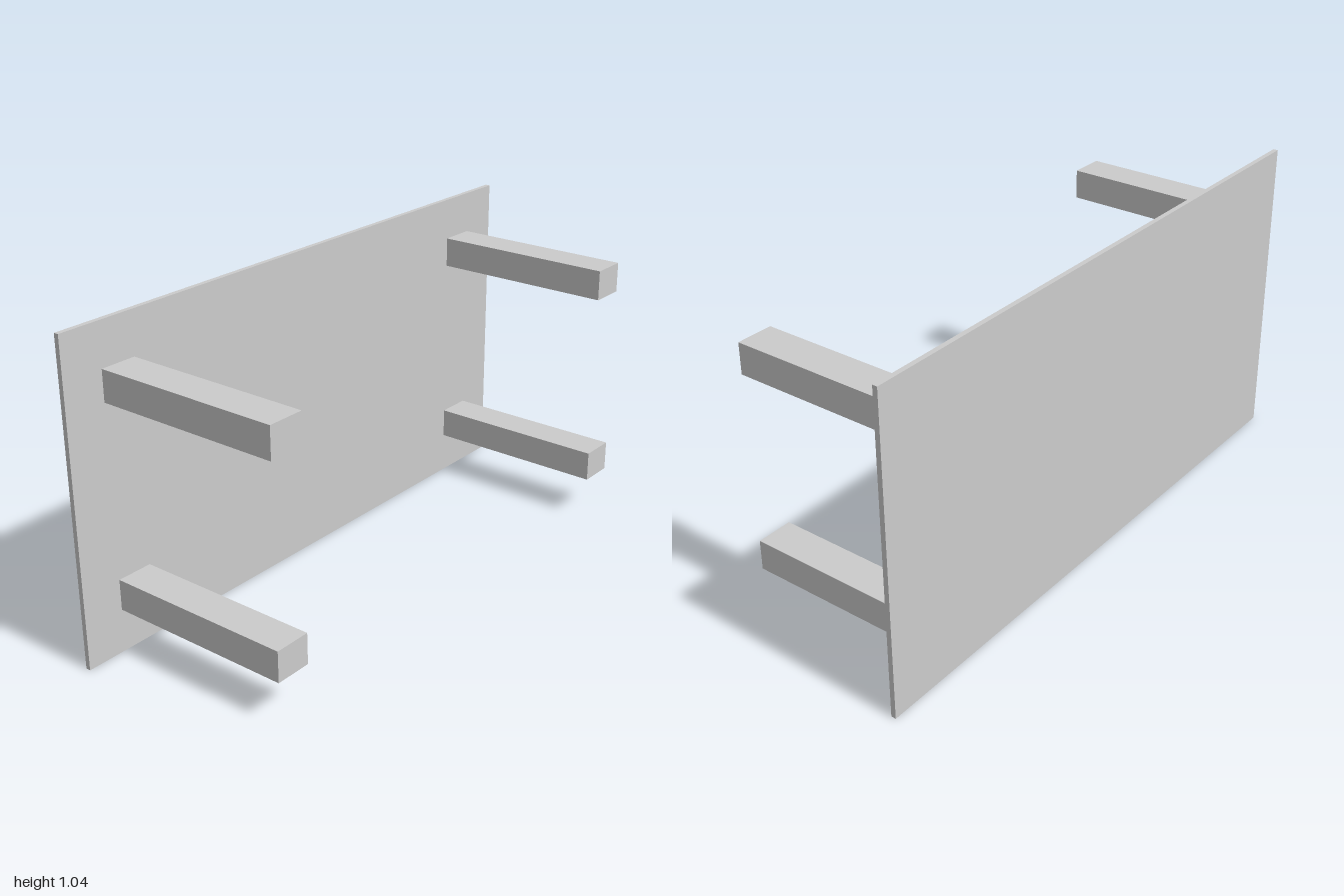
import * as THREE from 'three';

export function createModel() {
  const model = new THREE.Group();
  model.name = 'table';
  const material = new THREE.MeshStandardMaterial({ color: 0xcccccc, flatShading: true });

  const addBox = (name, size, position) => {
    const mesh = new THREE.Mesh(new THREE.BoxGeometry(...size), material);
    mesh.name = name;
    mesh.position.set(...position);
    model.add(mesh);
  };

  const depth = 0.636, thickness = 0.016, height = 1.04;
  const legLength = depth - thickness;

  // Thin table top, standing upright at the back
  addBox('tableTop', [2, height, thickness], [0, height / 2, -depth / 2 + thickness / 2]);

  // Four legs pointing forward from the top
  for (const [side, x] of [['left', 0.803], ['right', -0.803]]) {
    for (const [level, y] of [['Upper', 0.85], ['Lower', 0.19]]) {
      addBox(`${side}${level}Leg`, [0.12, 0.1, legLength], [x, y, thickness / 2]);
    }
  }

  return model;
}
